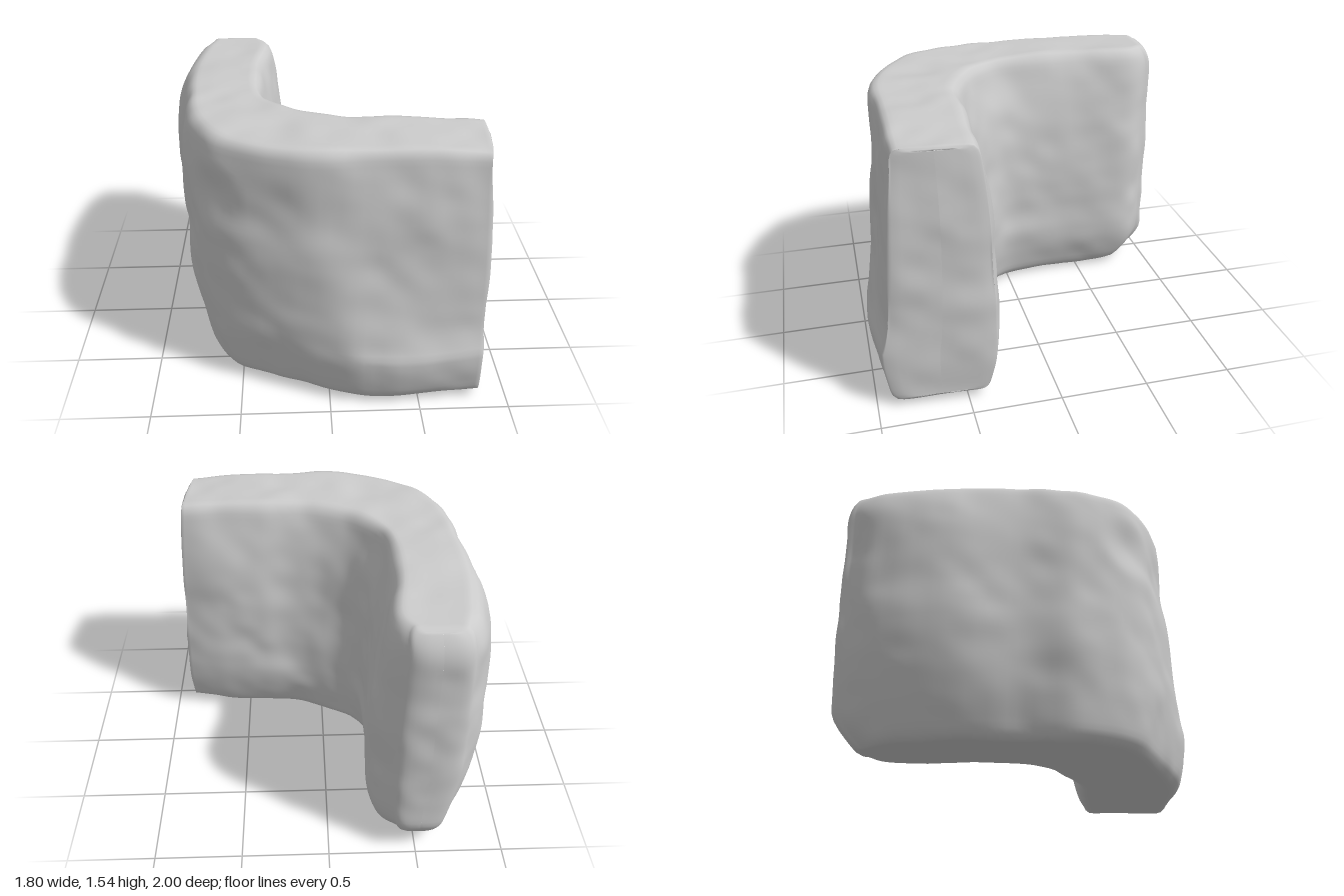
import * as THREE from 'three';

// Stations along the bend, from the back end to the front-left end:
// outer x, outer z, inner x, inner z, then insets: top outer, top inner, bottom outer, bottom inner
const STATIONS = [
  [-0.73, -0.945, -0.36, -0.945, 0.04, 0.03, 0.15, 0.08],
  [-0.845, -0.75, -0.23, -0.80, 0.11, 0.10, 0.18, 0.11],
  [-0.90, -0.36, -0.24, -0.42, 0.12, 0.14, 0.19, 0.10],
  [-0.81, 0.05, -0.23, -0.05, 0.05, 0.14, 0.13, 0.08],
  [-0.775, 0.36, -0.14, 0.11, 0.06, 0.15, 0.10, 0.08],
  [-0.60, 0.66, 0.00, 0.19, 0.04, 0.16, 0.10, 0.08],
  [-0.22, 0.84, 0.18, 0.245, 0.02, 0.16, 0.09, 0.10],
  [0.18, 0.98, 0.40, 0.255, 0.145, 0.14, 0.09, 0.10],
  [0.56, 0.985, 0.66, 0.275, 0.145, 0.13, 0.09, 0.10],
  [0.83, 0.95, 0.885, 0.34, 0.11, 0.07, 0.05, 0.05],
];
// Hollows worn into the faces: x, y, z, radius, depth
const HOLLOWS = [
  [-0.63, 1.2, 0.64, 0.22, 0.04],
  [0.32, 0.85, 0.93, 0.42, 0.012],
];
const HEIGHT = 1.54;
const WIDTH = 0.6;
const STEPS = 72;
const { lerp, smoothstep } = THREE.MathUtils;

// Catmull-Rom blend of the stations
function station(t) {
  const n = STATIONS.length - 1, i = Math.min(Math.floor(t * n), n - 1), f = t * n - i;
  const row = k => STATIONS[Math.max(0, Math.min(n, k))];
  const [a, b, c, d] = [row(i - 1), row(i), row(i + 1), row(i + 2)];
  return b.map((p, k) => p + 0.5 * f * (c[k] - a[k] + f * (2 * a[k] - 5 * p + 4 * c[k] - d[k] +
    f * (3 * (p - c[k]) + d[k] - a[k]))));
}

// Smooth seeded value noise, -1..1
function hash(x, y, z) {
  const s = Math.sin(x * 127.1 + y * 311.7 + z * 74.7 + 5.3) * 43758.5453;
  return (s - Math.floor(s)) * 2 - 1;
}
function noise(x, y, z) {
  const i = [x, y, z].map(Math.floor);
  const [u, v, w] = [x - i[0], y - i[1], z - i[2]].map(f => f * f * (3 - 2 * f));
  const h = (a, b, c) => hash(i[0] + a, i[1] + b, i[2] + c);
  const plane = c => lerp(lerp(h(0, 0, c), h(1, 0, c), u), lerp(h(0, 1, c), h(1, 1, c), u), v);
  return lerp(plane(0), plane(1), w);
}

// Rounded-rectangle section: x from outer to inner face, y = height
function sectionPoints() {
  const s = new THREE.Shape(), w = WIDTH, b = 0.025, h = HEIGHT, r = 0.06;
  s.moveTo(0, b + r);
  s.lineTo(0, h - r);
  s.quadraticCurveTo(0, h, r, h);
  s.lineTo(w - r, h);
  s.quadraticCurveTo(w, h, w, h - r);
  s.lineTo(w, b + r);
  s.quadraticCurveTo(w, b, w - r, b);
  s.lineTo(r, b);
  s.quadraticCurveTo(0, b, 0, b + r);
  return s.getSpacedPoints(130).slice(0, -1);
}

// One ring of the wall at t; squeeze < 1 narrows it towards its middle line to close an end
function ring(t, section, squeeze = 1) {
  const [ox, oz, ix, iz, topOut, topIn, botOut, botIn] = station(t);
  const across = new THREE.Vector2(ix - ox, iz - oz), width = across.length();
  across.normalize();
  const front = smoothstep(t, 0.4, 0.8);
  const backEnd = 1 - smoothstep(t, 0, 0.2), frontEnd = smoothstep(t, 0.85, 1);
  const closing = Math.min(1, (1 - squeeze) * 5);
  // Outward swelling: rounded at the back end, nearly flat at the front end
  const out = t < 0.5 ? 0.05 * Math.sqrt(1 - squeeze ** 4) : -0.01 * closing;
  return section.map(p => {
    const up = Math.max(0, (p.y - 0.35) / (HEIGHT - 0.35));
    const under = Math.max(0, 1 - p.y / lerp(0.7, 0.3, front)) ** 1.6;
    const underIn = Math.max(0, 1 - p.y / 0.4) ** 1.6;
    const a = topOut * up ** lerp(9, 0.6, front) + botOut * under;
    const b = width - topIn * up ** 2.8 - botIn * underIn;
    const d = lerp(a, b, 0.5 + (p.x / WIDTH - 0.5) * squeeze);
    const y = p.y + 0.03 * frontEnd * (1 - 1.7 * p.y / HEIGHT);
    const lean = 0.15 * Math.max(0, 1 - p.y / 0.22) ** 1.6 +
      0.05 * Math.max(0, (p.y - 1.35) / 0.19) ** 3;
    return new THREE.Vector3(
      ox + across.x * d - 0.04 * frontEnd * up ** 2 + across.y * out,
      HEIGHT / 2 + (y - HEIGHT / 2) * (1 - 0.02 * closing),
      oz + across.y * d + backEnd * lean - across.x * out);
  });
}

function wallGeometry() {
  const section = sectionPoints(), m = section.length;
  const squeezes = [0, 0.2, 0.4, 0.6, 0.75, 0.86, 0.93, 0.98];
  const rings = squeezes.map(s => ring(0, section, s));
  for (let i = 0; i <= STEPS; i++) rings.push(ring(i / STEPS, section));
  squeezes.reverse().forEach(s => rings.push(ring(1, section, s)));

  const index = [];
  for (let i = 0; i < rings.length - 1; i++) {
    for (let j = 0; j < m; j++) {
      const a = i * m + j, b = i * m + (j + 1) % m;
      index.push(a, a + m, b, b, a + m, b + m);
    }
  }
  const geo = new THREE.BufferGeometry().setFromPoints(rings.flat());
  geo.setIndex(index);
  geo.computeVertexNormals();

  // Weathered hollows, dents and swellings
  const pos = geo.attributes.position, nor = geo.attributes.normal;
  const p = new THREE.Vector3(), n = new THREE.Vector3();
  for (let k = 0; k < pos.count; k++) {
    p.fromBufferAttribute(pos, k);
    n.fromBufferAttribute(nor, k);
    let d = 0.012 * noise(p.x * 3.5, p.y * 3.5, p.z * 3.5) + 0.007 * noise(p.x * 8 + 9, p.y * 8, p.z * 8);
    for (const [x, y, z, r, depth] of HOLLOWS) {
      d -= depth * (1 - smoothstep(Math.hypot(p.x - x, p.y - y, p.z - z), 0, r));
    }
    p.addScaledVector(n, d);
    pos.setXYZ(k, p.x, p.y, p.z);
  }
  geo.computeVertexNormals();
  return geo;
}

export function createModel() {
  const group = new THREE.Group();
  group.name = 'curvedStoneWall';
  const wall = new THREE.Mesh(wallGeometry(), new THREE.MeshStandardMaterial({ color: 0xcccccc }));
  wall.name = 'stoneWall';
  group.add(wall);
  return group;
}
